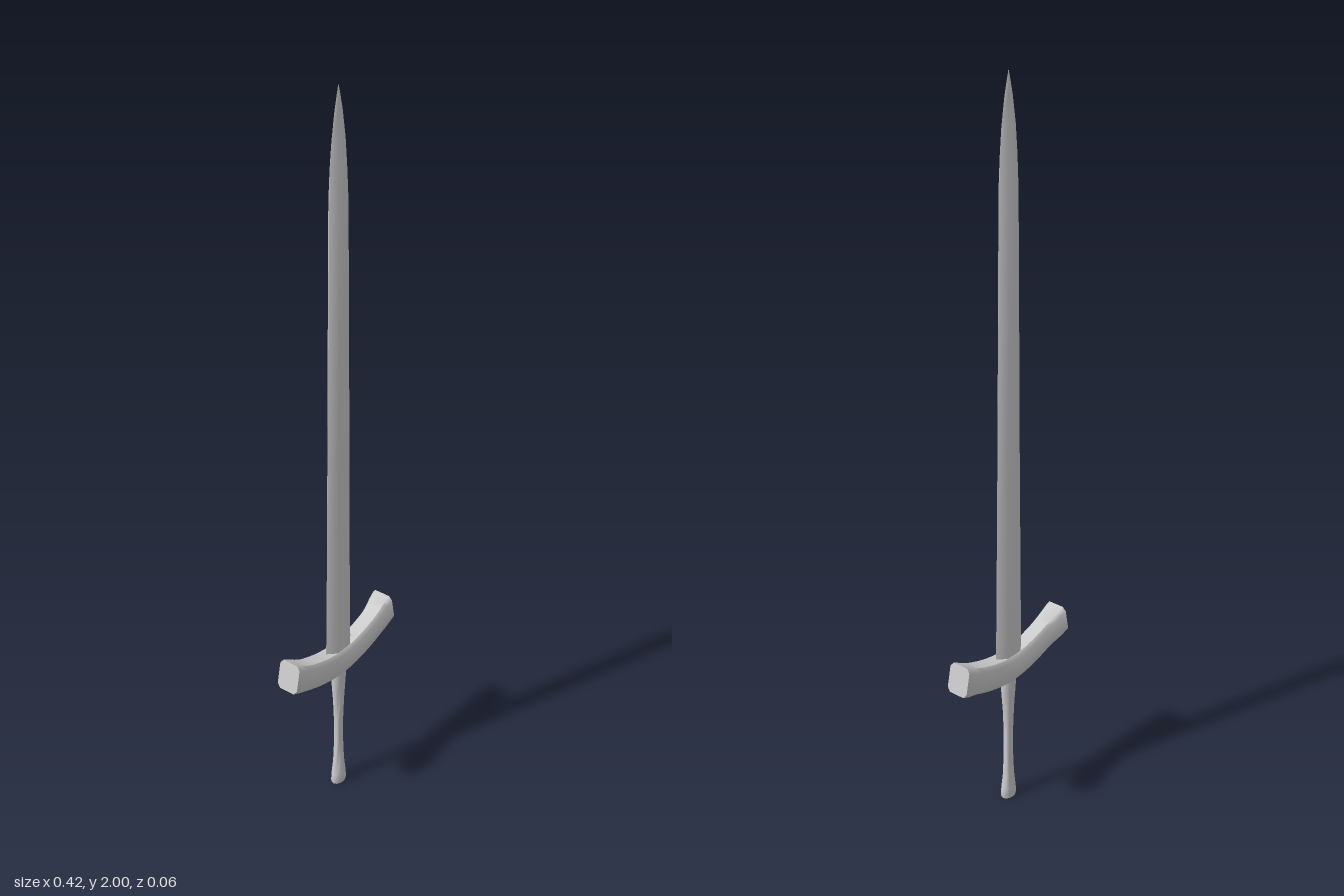
import * as THREE from 'three';
import { toCreasedNormals } from 'three/addons/utils/BufferGeometryUtils.js';

const material = new THREE.MeshStandardMaterial({ color: 0xcccccc });

// Skin a list of equal-sized rings (counter-clockwise about the travel direction) and cap both ends
function loft(name, rings, crease) {
  const n = rings[0].length, last = (rings.length - 1) * n, index = [];
  for (let i = 0; i < rings.length - 1; i++) {
    for (let j = 0; j < n; j++) {
      const a = i * n + j, b = i * n + (j + 1) % n;
      index.push(a, b, b + n, a, b + n, a + n);
    }
  }
  for (let j = 1; j < n - 1; j++) {
    index.push(0, j + 1, j, last, last + j, last + j + 1);
  }
  const geometry = new THREE.BufferGeometry();
  geometry.setAttribute('position', new THREE.Float32BufferAttribute(rings.flat(2), 3));
  geometry.setIndex(index);
  const mesh = new THREE.Mesh(toCreasedNormals(geometry, crease), material);
  mesh.name = name;
  return mesh;
}

// Six-sided blade section: [height, half width, half thickness]
function createBlade() {
  const stations = [
    [0.42, 0.052, 0.0185], [0.6, 0.049, 0.0182], [1.2, 0.041, 0.0175], [1.72, 0.034, 0.016],
    [1.8, 0.032, 0.013], [1.87, 0.026, 0.0095], [1.94, 0.015, 0.005], [1.98, 0.006, 0.002], [2, 0.0005, 0.0003],
  ];
  const section = [[1, 0], [0.5, -1], [-0.5, -1], [-1, 0], [-0.5, 1], [0.5, 1]];
  return loft('blade', stations.map(([y, w, t]) =>
    section.map(([x, z]) => [x * w - 0.002, y, z * t + 0.003])), 0.9);
}

// Upswept bar with chamfered edges, flaring backwards at the ends
function createGuard() {
  const c = 0.72;
  const section = [[1, -c], [1, c], [c, 1], [-c, 1], [-1, c], [-1, -c], [-c, -1], [c, -1]];
  const rings = [];
  const steps = 20;
  for (let i = 0; i <= steps; i++) {
    const s = (i / steps) * 2 - 1, e = Math.abs(s);
    const flare = THREE.MathUtils.smoothstep(e, 0.68, 1);
    const cx = 0.202 * s, cy = 0.417 + 0.058 * Math.pow(e, 1.8);
    const tilt = 0.2 * s, half = 0.0375 + 0.0035 * flare;
    const back = -0.024 - 0.009 * flare, front = 0.03;
    rings.push(section.map(([v, w]) => [
      cx - Math.sin(tilt) * half * v,
      cy + Math.cos(tilt) * half * v,
      (front + back) / 2 + w * (front - back) / 2,
    ]));
  }
  return loft('crossGuard', rings, 0.9);
}

// Waisted oval grip: [height, half width, half thickness]
function createGrip() {
  const stations = [
    [0, 0.023, 0.016], [0.008, 0.025, 0.018], [0.03, 0.023, 0.017], [0.07, 0.018, 0.0135], [0.14, 0.015, 0.011],
    [0.21, 0.015, 0.011], [0.28, 0.018, 0.013], [0.34, 0.023, 0.016], [0.4, 0.027, 0.019],
  ];
  const sides = 12;
  return loft('grip', stations.map(([y, w, t]) => Array.from({ length: sides }, (_, j) => {
    const a = (j / sides) * Math.PI * 2;
    return [Math.cos(a) * w - 0.002, y, -Math.sin(a) * t + 0.004];
  })), 0.9);
}

export function createModel() {
  const group = new THREE.Group();
  group.name = 'sword';
  group.add(createBlade(), createGuard(), createGrip());
  return group;
}
